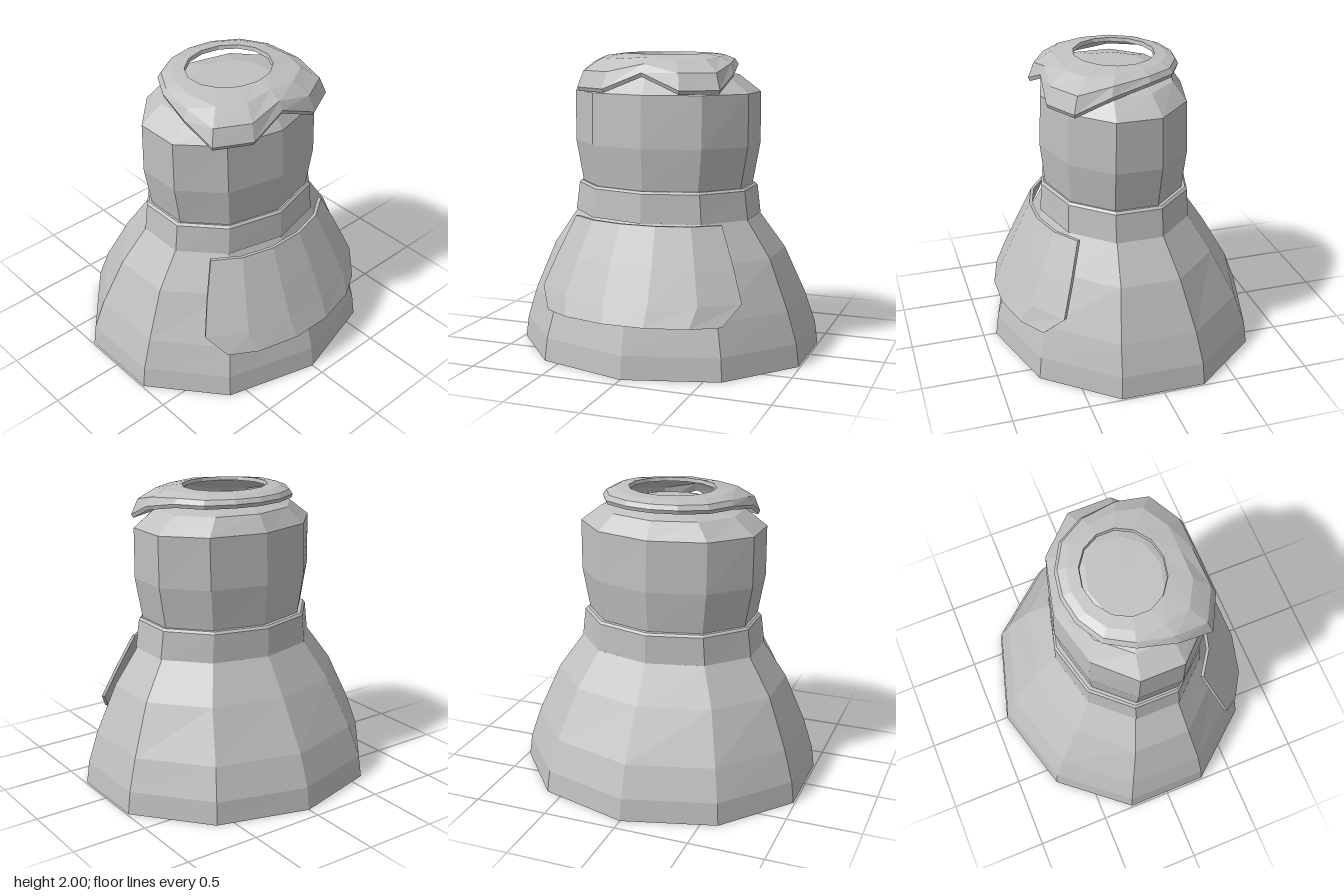
import * as THREE from 'three';

const gray = new THREE.MeshStandardMaterial({ color: 0xc0c0c0, flatShading: true });
gray.name = 'plain gray';

// Skin a list of closed rings (each a list of [x, y, z]); wrap joins the last ring to the first
function loft(name, rings, wrap = false) {
  const n = rings[0].length;
  const index = [];
  const last = wrap ? rings.length : rings.length - 1;
  for (let i = 0; i < last; i++) {
    const k = (i + 1) % rings.length;
    for (let j = 0; j < n; j++) {
      const a = i * n + j, b = i * n + (j + 1) % n;
      const c = k * n + (j + 1) % n, d = k * n + j;
      index.push(a, b, c, a, c, d);
    }
  }
  const indexed = new THREE.BufferGeometry();
  indexed.setAttribute('position', new THREE.Float32BufferAttribute(rings.flat(2), 3));
  indexed.setIndex(index);
  const geometry = indexed.toNonIndexed();
  geometry.computeVertexNormals();
  const mesh = new THREE.Mesh(geometry, gray);
  mesh.name = name;
  return mesh;
}

// Ten-sided elliptical ring with a corner facing front
function ring([y, rx, rz, cz]) {
  return Array.from({ length: 10 }, (_, j) => {
    const a = j * Math.PI / 5;
    return [rx * Math.sin(a), y, cz + rz * Math.cos(a)];
  });
}

// Stack of rings [y, x radius, z radius, z centre], closed at both ends
function stack(name, levels) {
  const first = levels[0], end = levels[levels.length - 1];
  return loft(name, [[first[0], 0, 0, first[3]], ...levels, [end[0], 0, 0, end[3]]].map(ring));
}

// Thin apron plate wrapped around the front of the skirt
function apron() {
  // y, then half of the outer cross-section: x, z from the centre out
  const rows = [
    [0.34, [[0.14, 0.88], [0.42, 0.81], [0.60, 0.70]]],
    [0.47, [[0.15, 0.82], [0.45, 0.74], [0.69, 0.58]]],
    [0.69, [[0.14, 0.72], [0.40, 0.65], [0.61, 0.51]]],
    [0.93, [[0.12, 0.61], [0.34, 0.55], [0.51, 0.435]]],
  ];
  const rings = rows.map(([y, half]) => {
    const right = half.map(([x, z]) => [x, y, z]);
    const left = half.map(([x, z]) => [-x, y, z]).reverse();
    const outer = [...left, ...right];
    const inner = outer.map(([x, , z]) => [x * 0.98, y, z - 0.02]).reverse();
    return [...outer, ...inner];
  });
  // Collapse a ring onto its midline to close the slab
  const flatten = r => r.map((p, j) => p.map((v, k) => (v + r[r.length - 1 - j][k]) / 2));
  return loft('apron', [flatten(rings[0]), ...rings, flatten(rings[rings.length - 1])]);
}

// Cap shell with an open crown, a notched brow and a rim that rises to the back
function cap() {
  // Rim from front to back on one side
  const half = [
    [0, 1.89, 0.53], [0.26, 1.785, 0.555], [0.49, 1.785, 0.435], [0.51, 1.88, 0.2],
    [0.46, 1.93, -0.06], [0.355, 1.935, -0.24], [0.18, 1.94, -0.34], [0, 1.94, -0.37],
  ];
  const mirrored = half.slice(1, 7).reverse().map(([x, y, z]) => [-x, y, z]);
  const rim = [...half, ...mirrored];
  const outer = [];
  for (let i = 0; i <= 3; i++) {
    const t = (1 - i / 3) * Math.PI / 2;
    const s = Math.sin(t), drop = 1 - Math.cos(t);
    outer.push(rim.map(([x, y, z], j) => {
      const a = j * Math.PI / 7;
      const hx = 0.295 * Math.sin(a), hz = 0.04 + 0.265 * Math.cos(a);
      return [hx + (x - hx) * s, 2 + (y - 2) * drop, hz + (z - hz) * s];
    }));
  }
  const inner = outer.map(r => r.map(([x, y, z]) => [x * 0.98, y - 0.025, 0.04 + (z - 0.04) * 0.98]));
  return loft('cap', [...inner.reverse(), ...outer], true);
}

export function createModel() {
  const model = new THREE.Group();
  model.name = 'figure';
  model.add(
    // Flared skirt
    stack('skirt', [
      [0, 1.04, 0.91, 0], [0.15, 1.02, 0.89, 0], [0.36, 0.952, 0.82, 0.01],
      [0.69, 0.81, 0.645, 0.025], [0.93, 0.64, 0.505, 0.045],
    ]),
    // Collar band with a small bevel
    stack('collar', [
      [0.93, 0.645, 0.51, 0.05], [1.12, 0.62, 0.5, 0.047], [1.135, 0.605, 0.485, 0.047],
    ]),
    // Head with a low domed top
    stack('head', [
      [1.13, 0.589, 0.465, 0.055], [1.41, 0.64, 0.495, 0.055], [1.75, 0.64, 0.48, 0.055],
      [1.86, 0.49, 0.4, 0.055], [1.905, 0.28, 0.24, 0.05],
    ]),
    apron(),
    cap(),
  );
  return model;
}
